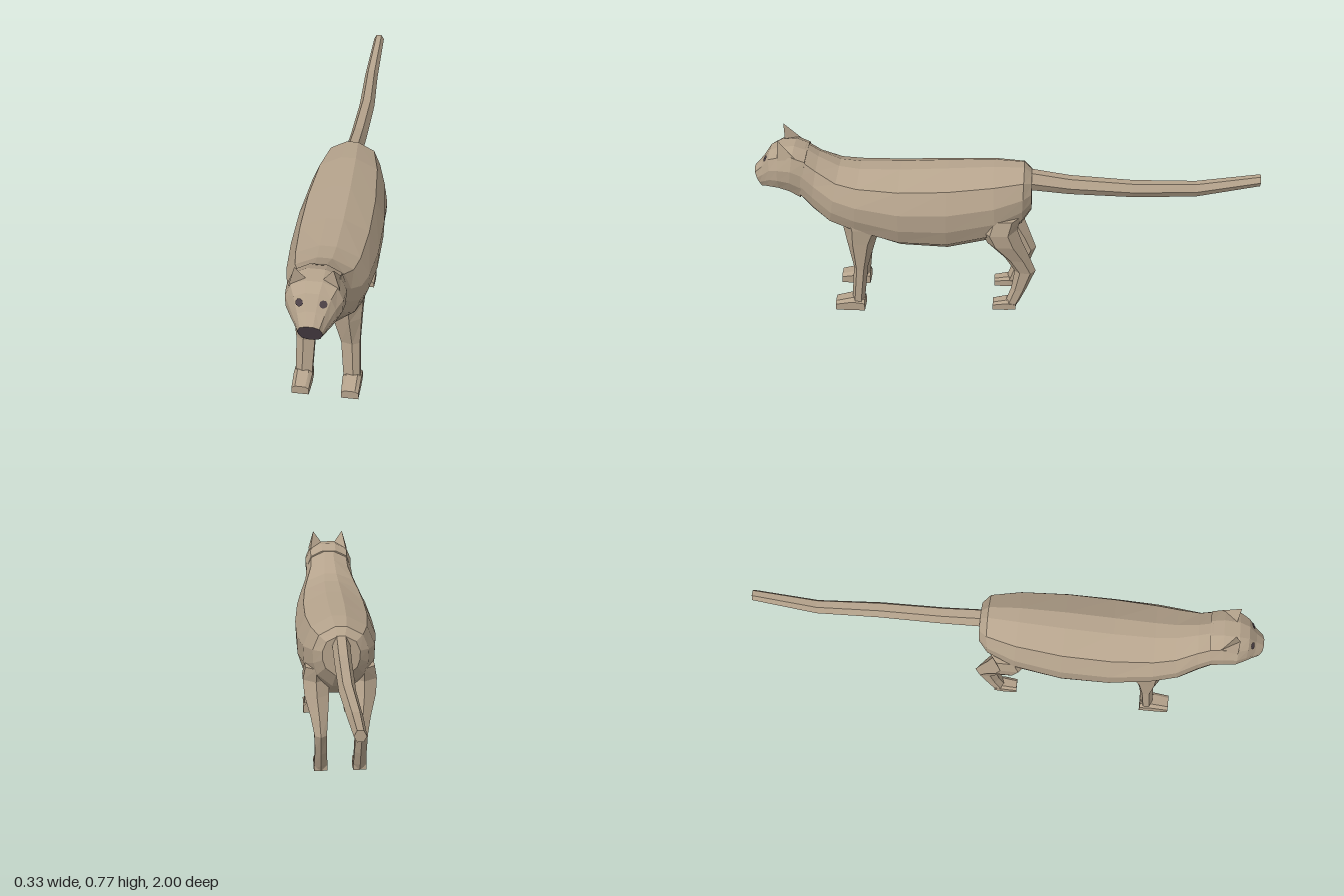
import * as THREE from 'three';

const fur = new THREE.MeshStandardMaterial({ color: 0xb5a38c });
fur.name = 'fur';
const dark = new THREE.MeshStandardMaterial({ color: 0x4b4046 });
dark.name = 'dark muzzle and eyes';

const V = (x, y, z) => new THREE.Vector3(x, y, z);

// Skins a list of equal rings and caps both ends, with flat facets.
// Group 1 is the last cap.
function loft(name, rings, material) {
  const tris = [];
  const n = rings[0].length;
  for (let r = 0; r < rings.length - 1; r++) {
    for (let i = 0; i < n; i++) {
      const j = (i + 1) % n;
      const a = rings[r][i], b = rings[r][j], c = rings[r + 1][j], d = rings[r + 1][i];
      tris.push([a, b, c], [a, c, d]);
    }
  }
  const cap = (ring, flip) => {
    const mid = ring.reduce((s, p) => s.add(p), V(0, 0, 0)).divideScalar(n);
    ring.forEach((p, i) => {
      const q = ring[(i + 1) % n];
      tris.push(flip ? [mid, q, p] : [mid, p, q]);
    });
  };
  cap(rings[0], true);
  cap(rings[rings.length - 1], false);

  // Turn the faces outwards whichever way the rings run
  const volume = tris.reduce((s, [a, b, c]) => s + a.dot(b.clone().cross(c)), 0);
  if (volume < 0) tris.forEach((t) => t.reverse());

  const geometry = new THREE.BufferGeometry().setFromPoints(tris.flat());
  geometry.computeVertexNormals();
  const total = tris.length * 3;
  geometry.addGroup(0, total - n * 3, 0);
  geometry.addGroup(total - n * 3, n * 3, 1);
  const mesh = new THREE.Mesh(geometry, material || [fur, fur]);
  mesh.name = name;
  return mesh;
}

// Half outline of a trunk section: [part of half width, part of height]
const trunkHalf = [[0.2, 1], [0.78, 0.86], [1, 0.62], [0.98, 0.4], [0.84, 0.2], [0.3, 0]];
const headHalf = [[0.3, 1], [0.8, 0.88], [1, 0.62], [0.98, 0.36], [0.75, 0.1], [0.3, 0]];

// Tilted section between a top point and a bottom point, mirrored in x
function section(half, [zTop, yTop, zBottom, yBottom, w]) {
  const right = half.map(([u, v]) => V(
    u * w,
    THREE.MathUtils.lerp(yBottom, yTop, v),
    THREE.MathUtils.lerp(zBottom, zTop, v)
  ));
  const left = right.map((p) => V(-p.x, p.y, p.z)).reverse();
  return [...right, ...left];
}

// Six-sided level leg section
const legOutline = [[1, 0.25], [1, 0.75], [0.6, 1], [0, 0.8], [0, 0.25], [0.5, 0]];
const legRing = (side, [y, x0, x1, z0, z1]) => legOutline.map(([u, v]) =>
  V(side * THREE.MathUtils.lerp(x0, x1, u), y, THREE.MathUtils.lerp(z0, z1, v)));

// Upright paw section with chamfered upper corners
const pawRing = (side, [z, x0, x1, y0, y1]) =>
  [[0, 0], [1, 0], [1, 0.75], [0.8, 1], [0.2, 1], [0, 0.75]].map(([u, v]) =>
    V(side * THREE.MathUtils.lerp(x0, x1, u), THREE.MathUtils.lerp(y0, y1, v), z));

export function createModel() {
  const model = new THREE.Group();
  model.name = 'cat';

  // Trunk from rump to neck: top z, top y, bottom z, bottom y, half width
  model.add(loft('body', [
    [-0.1, 0.615, -0.1, 0.45, 0.075],
    [-0.07, 0.645, -0.06, 0.39, 0.112],
    [0.05, 0.65, 0.04, 0.32, 0.146],
    [0.23, 0.642, 0.24, 0.275, 0.166],
    [0.42, 0.632, 0.43, 0.285, 0.166],
    [0.58, 0.63, 0.61, 0.345, 0.152],
    [0.66, 0.64, 0.71, 0.385, 0.135],
    [0.74, 0.68, 0.78, 0.445, 0.107],
    [0.79, 0.715, 0.83, 0.51, 0.1],
  ].map((s) => section(trunkHalf, s))));

  // Head, with the dark muzzle as its front cap
  const head = loft('head', [
    [0.78, 0.71, 0.82, 0.5, 0.1],
    [0.83, 0.73, 0.86, 0.53, 0.104],
    [0.89, 0.725, 0.9, 0.545, 0.1],
    [0.93, 0.705, 0.93, 0.542, 0.08],
    [0.965, 0.655, 0.955, 0.54, 0.058],
    [1.0, 0.618, 0.972, 0.537, 0.042],
  ].map((s) => section(headHalf, s)), [fur, dark]);
  model.add(head);

  // Tail: z, centre x, centre y, half width, half height
  model.add(loft('tail', [
    [-0.07, 0, 0.58, 0.036, 0.04],
    [-0.25, 0.002, 0.557, 0.034, 0.034],
    [-0.5, 0.004, 0.545, 0.032, 0.03],
    [-0.75, -0.008, 0.542, 0.028, 0.028],
    [-1, -0.004, 0.59, 0.022, 0.021],
  ].map(([z, x, y, rx, ry]) => Array.from({ length: 6 }, (_, i) => {
    const a = (i * Math.PI) / 3;
    return V(x + rx * Math.cos(a), y + ry * Math.sin(a) / 0.866, z);
  }))));

  const ray = new THREE.Raycaster();
  for (const side of [1, -1]) {
    const label = side > 0 ? 'left' : 'right';

    // Front leg: y, inner x, outer x, back z, front z
    model.add(loft(label + 'FrontLeg', [
      [0.44, 0.01, 0.13, 0.47, 0.67],
      [0.4, 0.01, 0.132, 0.485, 0.655],
      [0.33, 0.02, 0.127, 0.525, 0.645],
      [0.2, 0.05, 0.121, 0.565, 0.622],
      [0.05, 0.06, 0.124, 0.585, 0.637],
      [0.0, 0.06, 0.128, 0.59, 0.637],
    ].map((s) => legRing(side, s))));
    model.add(loft(label + 'FrontPaw', [
      [0.585, 0.06, 0.13, 0, 0.045],
      [0.635, 0.058, 0.13, 0, 0.055],
      [0.705, 0.062, 0.128, 0, 0.037],
    ].map((s) => pawRing(side, s))));

    // Hind leg with haunch and hock
    model.add(loft(label + 'HindLeg', [
      [0.46, 0.05, 0.14, -0.06, 0.08],
      [0.4, 0.045, 0.15, -0.045, 0.1],
      [0.34, 0.045, 0.145, -0.065, 0.075],
      [0.26, 0.052, 0.122, -0.095, 0.005],
      [0.19, 0.058, 0.108, -0.12, -0.035],
      [0.1, 0.056, 0.106, -0.085, -0.02],
      [0.035, 0.054, 0.108, -0.056, 0.003],
      [0.008, 0.054, 0.106, -0.042, 0.003],
    ].map((s) => legRing(side, s))));
    model.add(loft(label + 'HindPaw', [
      [-0.04, 0.054, 0.108, 0.005, 0.035],
      [0.0, 0.052, 0.11, 0.003, 0.045],
      [0.055, 0.056, 0.108, 0.003, 0.033],
    ].map((s) => pawRing(side, s))));

    // Pointed ear: triangular base drawn up to a tip
    const base = [V(0.022, 0.715, 0.875), V(0.088, 0.695, 0.89), V(0.082, 0.7, 0.82)];
    const tip = V(0.066, 0.775, 0.885);
    model.add(loft(label + 'Ear', [0, 1].map((t) => base.map((p) => {
      const q = p.clone().lerp(tip, t * 0.98);
      q.x *= side;
      return q;
    }))));

    // Eye: thin disc laid on the face
    ray.set(V(side * 0.04, 0.675, 2), V(0, 0, -1));
    const hit = ray.intersectObject(head)[0];
    const eye = new THREE.Mesh(new THREE.CircleGeometry(0.014, 8), dark);
    eye.name = label + 'Eye';
    eye.position.copy(hit.point).addScaledVector(hit.face.normal, 0.004);
    eye.lookAt(eye.position.clone().add(hit.face.normal));
    model.add(eye);
  }

  return model;
}
